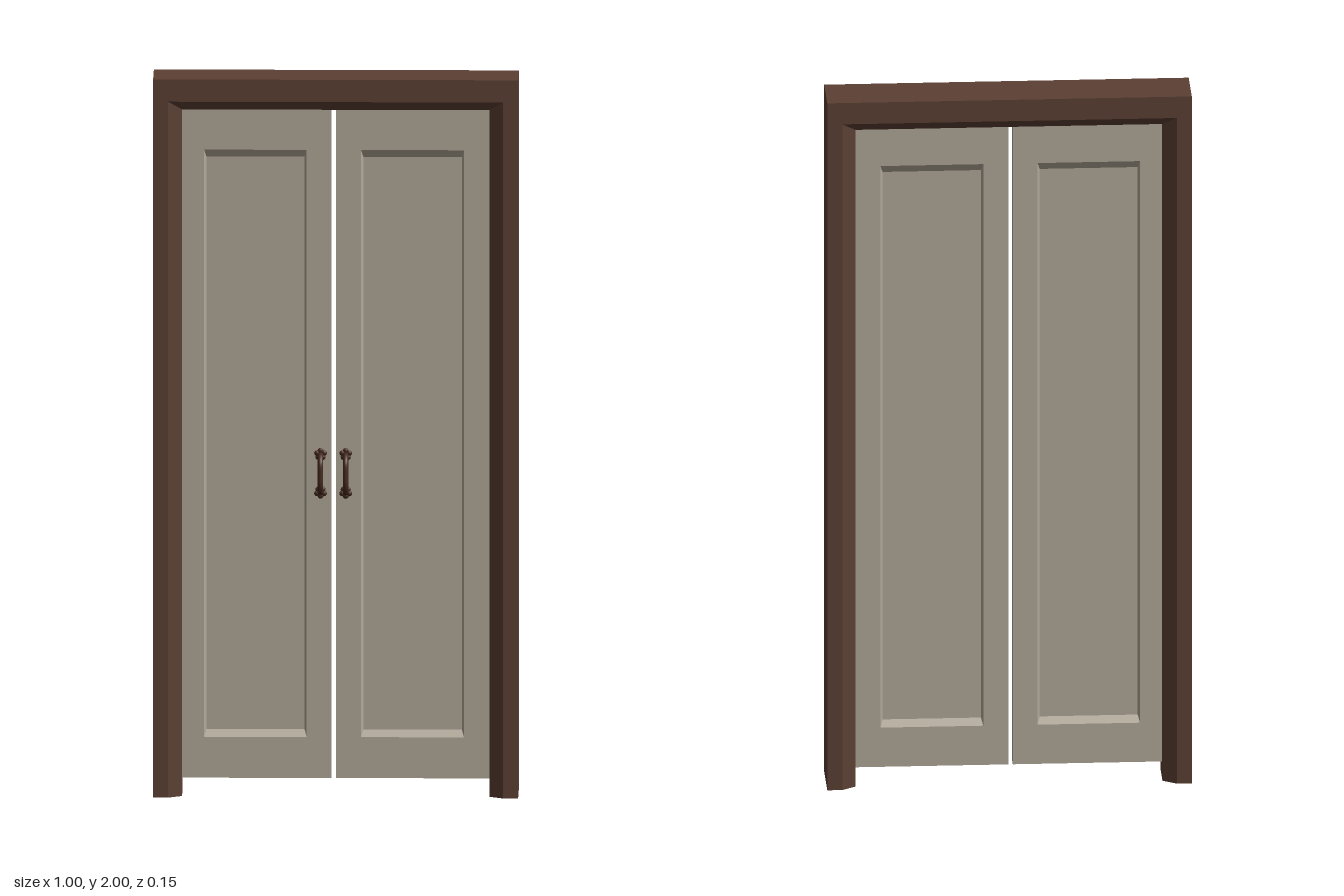
import * as THREE from 'three';

const frameWood = new THREE.MeshStandardMaterial({ color: 0x5c4033 });
frameWood.name = 'frame brown';
const doorPaint = new THREE.MeshStandardMaterial({ color: 0xb3a999 });
doorPaint.name = 'door beige';
const handleMetal = new THREE.MeshStandardMaterial({ color: 0x472b20 });
handleMetal.name = 'handle dark brown';

// Flat-faced skin through equal-length closed rings, capped at both ends
function loft(rings) {
  const pos = [];
  const tri = (...pts) => pts.forEach((p) => pos.push(...p));
  const n = rings[0].length;
  for (let i = 0; i < rings.length - 1; i++) {
    for (let j = 0; j < n; j++) {
      const k = (j + 1) % n;
      const a = rings[i][j], b = rings[i][k], c = rings[i + 1][k], d = rings[i + 1][j];
      tri(a, b, c);
      tri(a, c, d);
    }
  }
  const first = rings[0], last = rings[rings.length - 1];
  for (let j = 1; j < n - 1; j++) {
    tri(first[0], first[j + 1], first[j]);
    tri(last[0], last[j], last[j + 1]);
  }
  const geo = new THREE.BufferGeometry();
  geo.setAttribute('position', new THREE.Float32BufferAttribute(pos, 3));
  geo.computeVertexNormals();
  return geo;
}

function mesh(name, geo, mat) {
  const m = new THREE.Mesh(geo, mat);
  m.name = name;
  return m;
}

// Mitred surround: one chamfered section carried up, across and down
function makeFrame() {
  const section = [ // side inset, top inset, z
    [0, 0, 0.076], [0, 0, -0.076], [0.041, 0.062, -0.076],
    [0.079, 0.088, -0.05], [0.079, 0.088, 0.05], [0.041, 0.062, 0.076],
  ];
  const stations = [[1, false], [1, true], [-1, true], [-1, false]];
  const rings = stations.map(([side, top]) =>
    section.map(([sx, sy, z]) => [side * (0.5 - sx), top ? 2 - sy : 0, z]));
  return mesh('doorFrame', loft(rings), frameWood);
}

// Door leaf with a shallow recessed panel on both faces
function makeLeaf(name, x0, x1, p0, p1) {
  const rect = (a, b, c, d, z) => [[a, c, z], [b, c, z], [b, d, z], [a, d, z]];
  const half = 0.022, deep = 0.011;
  const panel = (z) => rect(p0 + 0.006, p1 - 0.006, 0.18, 1.774, z);
  const opening = (z) => rect(p0, p1, 0.16, 1.795, z);
  const outer = (z) => rect(x0, x1, 0.046, 1.912, z);
  return mesh(name, loft([
    panel(-deep), opening(-half), outer(-half),
    outer(half), opening(half), panel(deep),
  ]), doorPaint);
}

// Bowed pull handle with a small rosette at each end
function makeHandle(name, x) {
  const g = new THREE.Group();
  g.name = name;
  const path = new THREE.CatmullRomCurve3([
    [0.052, 0], [0.05, 0.022], [0.034, 0.038], [0, 0.041],
    [-0.034, 0.038], [-0.05, 0.022], [-0.052, 0],
  ].map(([y, z]) => new THREE.Vector3(0, y, z)));
  g.add(mesh('handleBar', new THREE.TubeGeometry(path, 32, 0.0075, 10), handleMetal));
  const lobe = new THREE.SphereGeometry(0.008, 10, 8);
  for (const end of [1, -1]) {
    const rosette = new THREE.Group();
    rosette.name = 'handleRosette';
    for (let i = 0; i < 5; i++) {
      const t = Math.PI / 2 + (i * Math.PI * 2) / 5;
      const petal = mesh('petal', lobe, handleMetal);
      petal.position.set(Math.cos(t) * 0.01, Math.sin(t) * 0.01 * end, 0.002);
      petal.scale.z = 0.7;
      rosette.add(petal);
    }
    rosette.position.y = end * 0.053;
    g.add(rosette);
  }
  g.position.set(x, 0.895, 0.022);
  return g;
}

export function createModel() {
  const model = new THREE.Group();
  model.name = 'doubleDoor';
  model.add(
    makeFrame(),
    makeLeaf('rightDoor', -0.425, -0.012, -0.361, -0.08),
    makeLeaf('leftDoor', 0, 0.422, 0.069, 0.351),
    makeHandle('rightHandle', -0.042),
    makeHandle('leftHandle', 0.027),
  );
  return model;
}
